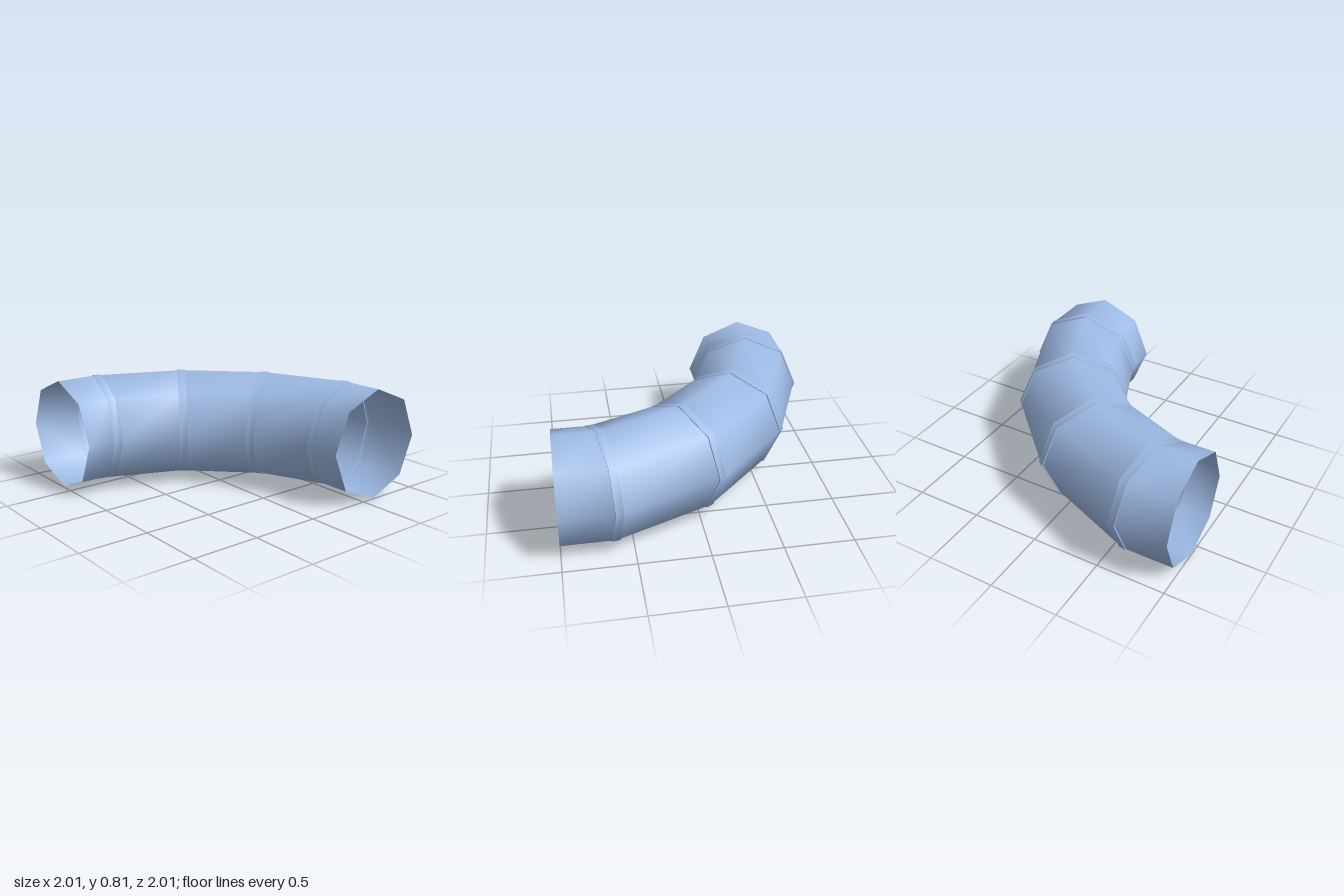
import * as THREE from 'three';

const SIDES = 8;
const BEND = 1.596;            // bend radius of the pipe's centre line, about x = 1, z = 1
const PIPE_R = 0.4, BAND_R = 0.404, MID_Y = 0.404;
const STEP = Math.PI / 8;      // turn at each mitred joint
const JOINTS = 4;
const HALF_BAND = 0.028;
const MITRE = 1 / Math.cos(STEP / 2);

const heading = (a) => new THREE.Vector3(Math.sin(a), 0, -Math.cos(a));
const outward = (a) => new THREE.Vector3(-Math.cos(a), 0, -Math.sin(a));

// Octagonal cross-section in the plane facing along angle a
function ring(centre, a, radius, stretch) {
  const side = outward(a), points = [];
  for (let k = 0; k < SIDES; k++) {
    const t = (k / SIDES) * Math.PI * 2;
    const p = centre.clone().addScaledVector(side, radius * stretch * Math.cos(t));
    p.y += radius * Math.sin(t);
    points.push(p);
  }
  return points;
}

// Separate strips between pairs of rings: smooth around, sharp between strips
function strips(pairs) {
  const points = [], index = [];
  for (const [from, to] of pairs) {
    const base = points.length;
    points.push(...from, ...to);
    for (let k = 0; k < SIDES; k++) {
      const a = base + k, b = base + ((k + 1) % SIDES);
      index.push(a, b, a + SIDES, b, b + SIDES, a + SIDES);
    }
  }
  const geometry = new THREE.BufferGeometry().setFromPoints(points);
  geometry.setIndex(index);
  geometry.computeVertexNormals();
  return geometry;
}

export function createModel() {
  const model = new THREE.Group();
  model.name = 'pipeElbow';
  const material = new THREE.MeshStandardMaterial({ color: 0x9db9e3, side: THREE.DoubleSide });
  const add = (name, pairs) => {
    const mesh = new THREE.Mesh(strips(pairs), material);
    mesh.name = name;
    model.add(mesh);
  };

  // Open mouth, facing the front
  let start = ring(new THREE.Vector3(1 - BEND, MID_Y, 1), 0, PIPE_R, 1);

  for (let i = 0; i < JOINTS; i++) {
    const before = i * STEP, mitre = (i + 0.5) * STEP, after = (i + 1) * STEP;
    const joint = new THREE.Vector3(1, MID_Y, 1).addScaledVector(outward(mitre), BEND * MITRE);
    const at = (a, d) => joint.clone().addScaledVector(heading(a), d);

    // Straight pipe section up to the joint
    const end = ring(at(before, -HALF_BAND * MITRE), mitre, PIPE_R, MITRE);
    add('pipeSection' + (i + 1), [[start, end]]);

    // Raised band over the joint, with a small step at each edge
    const next = ring(at(after, HALF_BAND * MITRE), mitre, PIPE_R, MITRE);
    const low = ring(at(mitre, -HALF_BAND), mitre, BAND_R, MITRE);
    const high = ring(at(mitre, HALF_BAND), mitre, BAND_R, MITRE);
    add('jointBand' + (i + 1), [[end, low], [low, high], [high, next]]);
    start = next;
  }

  // Last section, open to the left side
  const mouth = ring(new THREE.Vector3(1, MID_Y, 1 - BEND), JOINTS * STEP, PIPE_R, 1);
  add('pipeSection' + (JOINTS + 1), [[start, mouth]]);

  return model;
}
